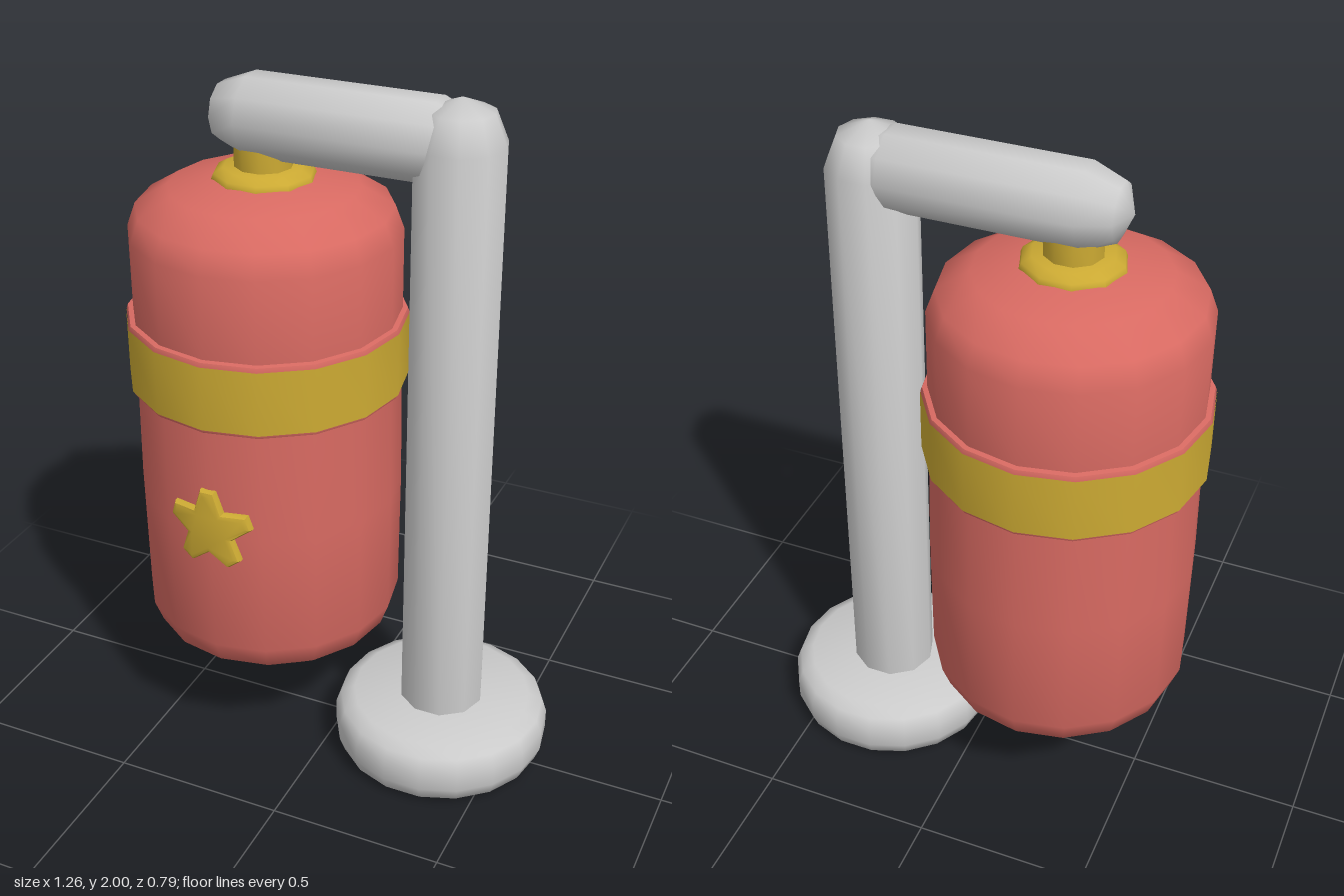
import * as THREE from 'three';
import { toCreasedNormals } from 'three/addons/utils/BufferGeometryUtils.js';

const grey = new THREE.MeshStandardMaterial({ color: 0xcccccc });
const red = new THREE.MeshStandardMaterial({ color: 0xd86a62 });
const gold = new THREE.MeshStandardMaterial({ color: 0xccaa33 });

const BAG_X = -0.238;
const POST_X = 0.313;

// Turned part from a bottom-to-top profile of [radius, y]
function turned(profile, sides, start = 0) {
  const points = profile.map(([r, y]) => new THREE.Vector2(r, y));
  return toCreasedNormals(new THREE.LatheGeometry(points, sides, start), 0.9);
}

function starGeometry() {
  const shape = new THREE.Shape();
  // Each of the five tips is blunted into two corners
  for (let i = 0; i < 5; i++) {
    const a = Math.PI / 2 + (i * Math.PI * 2) / 5;
    for (const [da, r] of [[-0.1, 0.108], [0.1, 0.108], [Math.PI / 5, 0.053]]) {
      const x = Math.cos(a + da) * r, y = Math.sin(a + da) * r;
      if (i === 0 && da === -0.1) shape.moveTo(x, y);
      else shape.lineTo(x, y);
    }
  }
  shape.closePath();
  const geo = new THREE.ExtrudeGeometry(shape, {
    depth: 0.025, bevelEnabled: true, bevelThickness: 0.012, bevelSize: 0.015, bevelSegments: 2,
  });
  // Bend the star around the bag
  const p = geo.attributes.position;
  for (let i = 0; i < p.count; i++) p.setZ(i, p.getZ(i) - p.getX(i) ** 2 / 0.76);
  return toCreasedNormals(geo, 0.7);
}

export function createModel() {
  const model = new THREE.Group();
  const add = (name, geometry, material, x = 0, y = 0, z = 0) => {
    const mesh = new THREE.Mesh(geometry, material);
    mesh.name = name;
    mesh.position.set(x, y, z);
    model.add(mesh);
  };

  // Stand: round foot, post with a domed top, and rounded arm
  add('base', turned([
    [0, 0], [0.27, 0], [0.3, 0.02], [0.315, 0.06], [0.315, 0.12], [0.3, 0.16], [0.26, 0.18], [0, 0.18],
  ], 18, Math.PI / 2), grey, POST_X);
  add('post', turned([
    [0, 0.1], [0.123, 0.1], [0.123, 1.88], [0.088, 1.965], [0, 2],
  ], 10, Math.PI / 2), grey, POST_X);
  add('arm', turned([
    [0, -0.39], [0.078, -0.357], [0.112, -0.27], [0.112, 0.255], [0.078, 0.335], [0, 0.37],
  ], 10).rotateZ(-Math.PI / 2), grey, 0, 1.88);

  // Bag with a raised ridge that carries the band
  add('bag', turned([
    [0, 0.25], [0.13, 0.262], [0.255, 0.292], [0.35, 0.365], [0.374, 0.43],
    [0.378, 0.8], [0.374, 1.13], [0.388, 1.13], [0.392, 1.14], [0.392, 1.325], [0.388, 1.336], [0.374, 1.338],
    [0.374, 1.57], [0.35, 1.635], [0.26, 1.69], [0.13, 1.718], [0, 1.728],
  ], 16), red, BAG_X);
  add('band', turned([[0.394, 1.14], [0.394, 1.325]], 16), gold, BAG_X);

  // Hanger between bag and arm
  add('collar', turned([
    [0, 1.69], [0.13, 1.69], [0.142, 1.715], [0.136, 1.73], [0.11, 1.745], [0, 1.745],
  ], 10, Math.PI / 2), gold, BAG_X);
  add('neck', turned([
    [0, 1.72], [0.08, 1.72], [0.08, 1.84], [0, 1.84],
  ], 10, Math.PI / 2), gold, BAG_X);

  // Star on the front of the bag
  add('star', starGeometry(), gold, BAG_X, 0.825, 0.357);

  return model;
}
